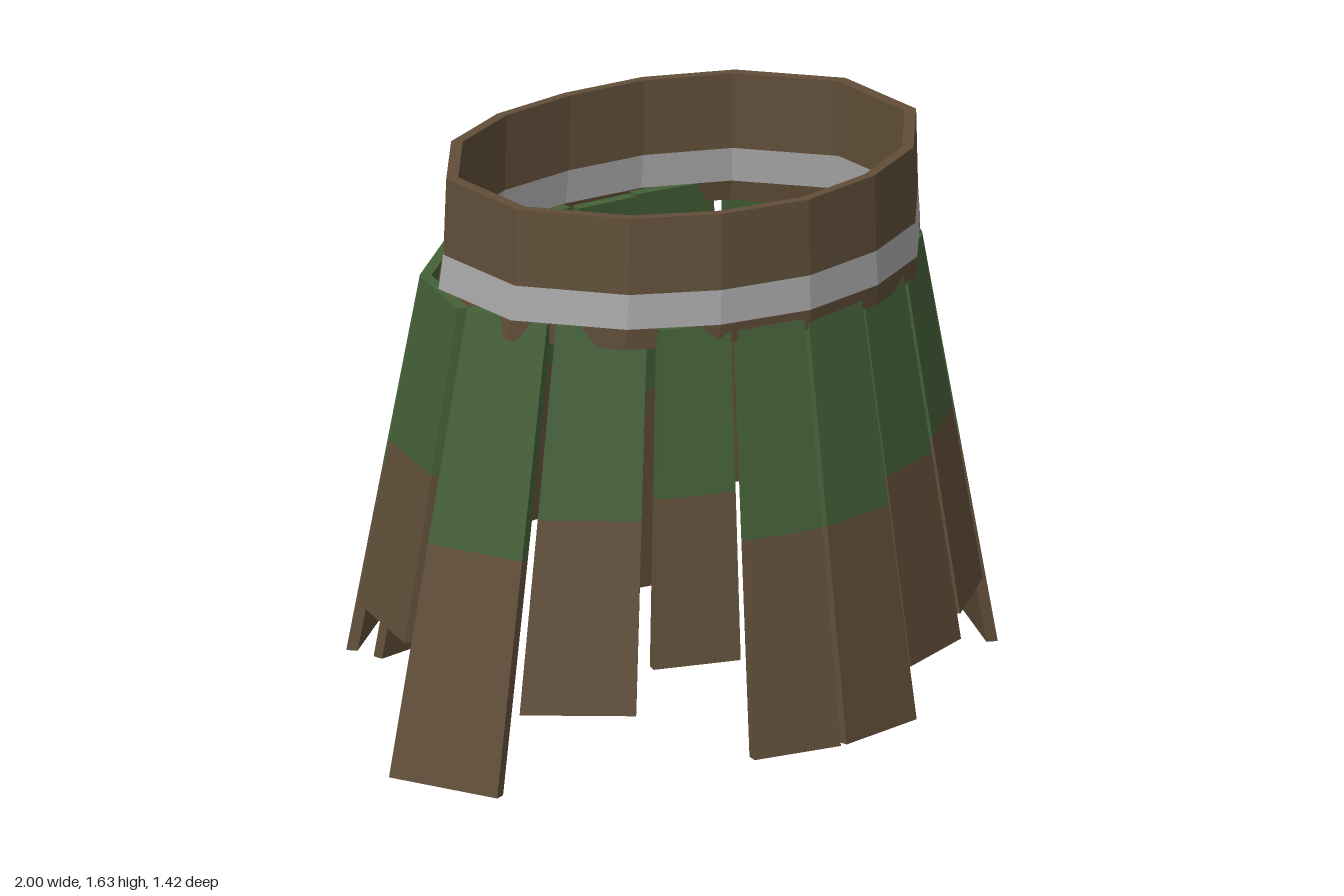
import * as THREE from 'three';

const mat = (name, color) => {
  const m = new THREE.MeshStandardMaterial({ color });
  m.name = name;
  return m;
};

const TOP = 1.31;        // height of the plank tops
const THICK = 0.032;     // plank thickness

// Planks in order from front centre towards +x and round the back:
// [x, z, x, z] of the outer lower edge, then height of the lower end
const PLANKS = [
  [0.01, 0.71, 0.29, 0.66, 0.09],
  [0.30, 0.62, 0.55, 0.52, 0.23],
  [0.57, 0.49, 0.80, 0.29, 0.29],
  [0.86, 0.28, 1.0, -0.04, 0.09],
  [0.97, -0.06, 0.89, -0.40, 0.23],
  [0.85, -0.42, 0.61, -0.61, 0.37],
  [0.60, -0.66, 0.28, -0.71, 0.09],
  [0.26, -0.69, 0.02, -0.71, 0.10],
  [0.0, -0.69, -0.24, -0.67, 0.37],
  [-0.27, -0.71, -0.58, -0.66, 0.09],
  [-0.57, -0.66, -0.85, -0.43, 0.23],
  [-0.83, -0.40, -0.93, -0.06, 0.37],
  [-1.0, -0.04, -0.87, 0.28, 0.0],
  [-0.80, 0.29, -0.55, 0.49, 0.23],
  [-0.52, 0.53, -0.28, 0.61, 0.37],
  [-0.27, 0.66, -0.01, 0.71, 0.09],
];

// A leaning plank section between heights y0 and y1
function plankSection([ax, az, bx, bz, bottom], y0, y1) {
  const geo = new THREE.BoxGeometry(1, 1, 1);
  const p = geo.attributes.position;
  const len = Math.hypot(bx - ax, bz - az);
  const nx = -(bz - az) / len, nz = (bx - ax) / len;
  for (let i = 0; i < p.count; i++) {
    const u = p.getX(i) + 0.5;
    const y = p.getY(i) > 0 ? y1 : y0;
    const inset = p.getZ(i) > 0 ? 0 : THICK;
    const s = 1 - 0.2 * (y - bottom);    // leans in towards the waist
    p.setXYZ(i,
      (ax + (bx - ax) * u) * s - nx * inset,
      y,
      (az + (bz - az) * u) * s - nz * inset);
  }
  geo.computeVertexNormals();
  return geo;
}

// Waistband outline, +x half from front to back, then mirrored
const HALF = [[0, 0.54], [0.265, 0.49], [0.49, 0.37], [0.69, 0.12],
  [0.69, -0.20], [0.49, -0.44], [0.25, -0.545], [0, -0.57]];
const OUTLINE = [...HALF, ...HALF.slice(1, -1).reverse().map(([x, z]) => [-x, z])];

// Waistband rows: [height, widening, backward shift]
const ROWS = [[1.63, 1, 0], [1.41, 1.01, -0.002], [1.31, 1.025, -0.008], [1.25, 1.035, -0.02]];

function bandPoint(i, row, inner) {
  const [x, z] = OUTLINE[i % OUTLINE.length];
  const [y, s, shift] = row;
  const k = s * (inner ? 0.95 : 1);
  return [x * k + 0.01, y, (z + 0.015) * k - 0.015 + shift];
}

// Faceted ring between two rows, with optional closing rims
function bandRing(upper, lower, topRim, bottomRim) {
  const pos = [];
  const quad = (a, b, c, d) => pos.push(...a, ...b, ...c, ...a, ...c, ...d);
  for (let i = 0; i < OUTLINE.length; i++) {
    const pt = (j, row, inner) => bandPoint(i + j, row, inner);
    quad(pt(0, lower), pt(1, lower), pt(1, upper), pt(0, upper));
    quad(pt(1, lower, true), pt(0, lower, true), pt(0, upper, true), pt(1, upper, true));
    if (topRim) quad(pt(0, upper), pt(1, upper), pt(1, upper, true), pt(0, upper, true));
    if (bottomRim) quad(pt(1, lower), pt(0, lower), pt(0, lower, true), pt(1, lower, true));
  }
  const geo = new THREE.BufferGeometry();
  geo.setAttribute('position', new THREE.Float32BufferAttribute(pos, 3));
  geo.computeVertexNormals();
  return geo;
}

export function createModel() {
  const brown = mat('brown', 0x614e39);
  const green = mat('green', 0x446038);
  const grey = mat('grey', 0xaaaaaa);

  const model = new THREE.Group();
  model.name = 'plankSkirt';
  const add = (parent, name, geo, material) => {
    const mesh = new THREE.Mesh(geo, material);
    mesh.name = name;
    parent.add(mesh);
  };

  // Waistband with a grey stripe
  const band = new THREE.Group();
  band.name = 'waistband';
  add(band, 'upperBand', bandRing(ROWS[0], ROWS[1], true, false), brown);
  add(band, 'stripe', bandRing(ROWS[1], ROWS[2], false, false), grey);
  add(band, 'lowerBand', bandRing(ROWS[2], ROWS[3], false, true), brown);
  model.add(band);

  // Hanging planks, green above and brown below the middle
  PLANKS.forEach((plank, i) => {
    const group = new THREE.Group();
    group.name = `plank${i + 1}`;
    const bottom = plank[4], middle = (bottom + TOP) / 2;
    add(group, 'plankUpper', plankSection(plank, middle, TOP), green);
    add(group, 'plankLower', plankSection(plank, bottom, middle), brown);
    model.add(group);
  });
  return model;
}
